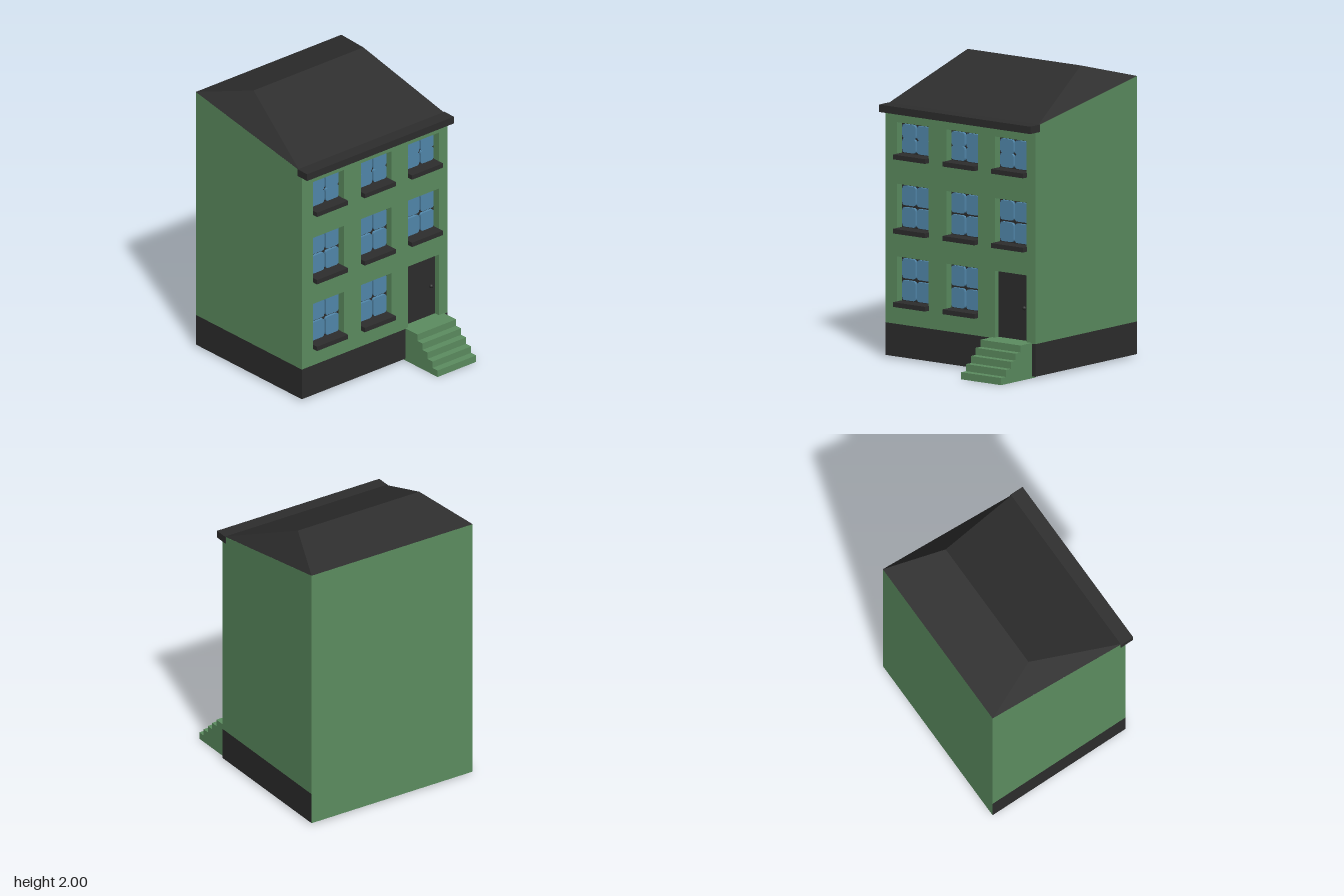
import * as THREE from 'three';

const mat = (name, color, side = THREE.FrontSide) => {
  const m = new THREE.MeshStandardMaterial({ color, side });
  m.name = name;
  return m;
};

export function createModel() {
  const green = mat('greenWall', 0x5c8d60, THREE.DoubleSide);
  const dark = mat('darkSlate', 0x2d2d2d, THREE.DoubleSide);
  const blue = mat('blueGlass', 0x5288ac);
  const house = new THREE.Group();
  house.name = 'townhouse';

  const add = (name, geo, material, parent = house) => {
    const m = new THREE.Mesh(geo, material);
    m.name = name;
    parent.add(m);
    return m;
  };
  const box = (name, x0, x1, y0, y1, z0, z1, material, parent) => {
    const g = new THREE.BoxGeometry(x1 - x0, y1 - y0, z1 - z0);
    g.translate((x0 + x1) / 2, (y0 + y1) / 2, (z0 + z1) / 2);
    return add(name, g, material, parent);
  };
  // flat polygons, each a fan of corner points
  const polys = (name, list, material) => {
    const p = [];
    for (const f of list)
      for (let i = 1; i < f.length - 1; i++) p.push(...f[0], ...f[i], ...f[i + 1]);
    const g = new THREE.BufferGeometry();
    g.setAttribute('position', new THREE.Float32BufferAttribute(p, 3));
    g.computeVertexNormals();
    return add(name, g, material);
  };
  // extrude a shape drawn in (-z, y) so that it runs from x0 to x1
  const extrudeX = (shape, x0, x1) => {
    const g = new THREE.ExtrudeGeometry(shape, { depth: x1 - x0, bevelEnabled: false, curveSegments: 4 });
    return g.rotateY(Math.PI / 2).translate(x0, 0, 0);
  };
  const rect = (path, a0, a1, y0, y1) => {
    path.moveTo(a0, y0);
    path.lineTo(a1, y0);
    path.lineTo(a1, y1);
    path.lineTo(a0, y1);
    path.closePath();
    return path;
  };

  const B = -0.7, F = 0.37, Z = 0.64, y0 = 0.015, yb = 0.235, yBack = 1.89, yFront = 1.7;

  // side walls with dark plinths, plain back wall, open underneath
  for (const s of [1, -1]) {
    const side = s > 0 ? 'left' : 'right';
    const order = (f) => (s > 0 ? f : f.reverse());
    const z = s * Z;
    polys(side + 'Wall', [order([[B, yb, z], [F, yb, z], [F, yFront, z], [B, yBack, z]])], green);
    polys(side + 'Plinth', [order([[B, y0, z], [F, y0, z], [F, yb, z], [B, yb, z]])], dark);
  }
  polys('backWall', [[[B, y0, -Z], [B, y0, Z], [B, yBack, Z], [B, yBack, -Z]]], green);

  // hipped roof
  const bl = [B, yBack, Z], br = [B, yBack, -Z], fl = [0.345, 1.705, Z], fr = [0.345, 1.705, -Z];
  const rl = [-0.3, 2, 0.48], rr = [-0.3, 2, -0.485];
  polys('roof', [[bl, fl, rl], [fr, br, rr], [fl, fr, rr, rl], [br, bl, rl, rr]], dark);
  box('gutter', 0.33, 0.43, 1.66, 1.71, -0.645, 0.645, dark);

  // street wall with window and door openings
  const half = 0.135;
  const columns = [0.405, -0.015, -0.43];
  const rows = [
    { y: 0.365, top: 0.69, gap: 0.014 },
    { y: 0.86, top: 1.18, gap: 0.014 },
    { y: 1.36, top: 1.595, gap: 0 },
  ];
  const wall = rect(new THREE.Shape(), -Z + 0.001, Z - 0.001, yb, 1.69);
  const isDoor = (r, c) => r === 0 && c === 2;
  rows.forEach((row, r) => columns.forEach((z, c) => {
    const bottom = isDoor(r, c) ? yb + 0.002 : row.y;
    wall.holes.push(rect(new THREE.Path(), -z - half, -z + half, bottom, row.top));
  }));
  add('streetWall', extrudeX(wall, 0.31, F), green);
  box('streetPlinth', 0.33, F, y0, yb, -Z + 0.001, Z - 0.001, dark);

  // one window pane with rounded corners
  const pane = (a0, a1, b0, b1) => {
    const s = new THREE.Shape(), k = 0.02;
    s.moveTo(a0 + k, b0);
    s.lineTo(a1 - k, b0);
    s.quadraticCurveTo(a1, b0, a1, b0 + k);
    s.lineTo(a1, b1 - k);
    s.quadraticCurveTo(a1, b1, a1 - k, b1);
    s.lineTo(a0 + k, b1);
    s.quadraticCurveTo(a0, b1, a0, b1 - k);
    s.lineTo(a0, b0 + k);
    s.quadraticCurveTo(a0, b0, a0 + k, b0);
    return extrudeX(s, 0.316, 0.335);
  };

  // windows: dark frame behind four raised panes, with a sill
  rows.forEach((row, r) => columns.forEach((z, c) => {
    if (isDoor(r, c)) return;
    const win = new THREE.Group();
    win.name = 'window';
    house.add(win);
    box('windowFrame', 0.305, 0.317, row.y, row.top, z - half, z + half, dark, win);
    box('windowSill', 0.315, 0.41, row.y - 0.01, row.y + 0.022, z - half - 0.001, z + half + 0.001, dark, win);
    const lo = row.y + 0.03, hi = row.top - 0.014, mid = (lo + hi) / 2, w = half - 0.016;
    for (const s of [-1, 1]) {
      const a = -z + s * 0.007, b = -z + s * w;
      for (const [p, q] of [[lo, mid - row.gap / 2], [mid + row.gap / 2, hi]])
        add('windowPane', pane(Math.min(a, b), Math.max(a, b), p, q), blue, win);
    }
  }));

  // door with a round knob
  const dz = columns[2];
  box('door', 0.31, 0.332, yb, 0.69, dz - half, dz + half, dark);
  const knob = add('doorKnob', new THREE.SphereGeometry(0.014, 12, 8), dark);
  knob.position.set(0.342, 0.46, -0.522);

  // front steps
  const steps = new THREE.Shape();
  steps.moveTo(0.33, 0.002);
  steps.lineTo(0.695, 0.002);
  for (let i = 0; i < 5; i++) {
    const x = 0.695 - i * 0.051, y = 0.05 + i * 0.0475;
    steps.lineTo(x, y);
    steps.lineTo(i < 4 ? x - 0.051 : 0.33, y);
  }
  steps.closePath();
  const stepGeo = new THREE.ExtrudeGeometry(steps, { depth: 0.34, bevelEnabled: false });
  add('frontSteps', stepGeo.translate(0, 0, -0.61), green);

  return house;
}
